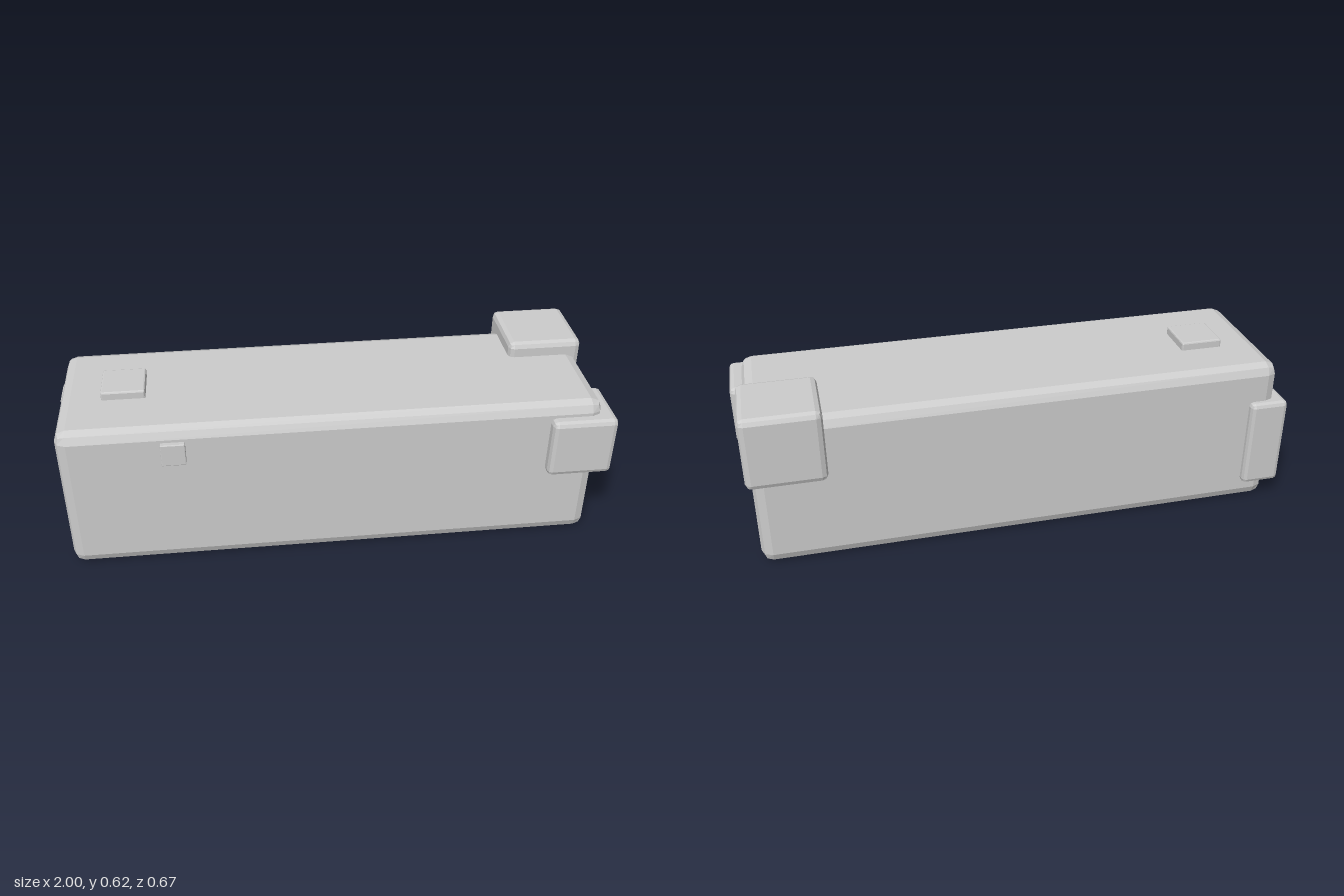
import * as THREE from 'three';
import { RoundedBoxGeometry } from 'three/addons/geometries/RoundedBoxGeometry.js';

const material = new THREE.MeshStandardMaterial({ color: 0xcccccc, flatShading: true });

// Block with two-step bevelled edges, given by its min and max corners
function block(name, min, max, bevel) {
  const size = max.map((v, i) => v - min[i]);
  const mesh = new THREE.Mesh(new RoundedBoxGeometry(...size, 1, bevel), material);
  mesh.position.set(...max.map((v, i) => (v + min[i]) / 2));
  mesh.name = name;
  return mesh;
}

export function createModel() {
  const model = new THREE.Group();
  model.name = 'blockAssembly';
  model.add(
    // Long main body
    block('body', [-0.96, 0, -0.273], [0.95, 0.565, 0.292], 0.04),
    // Blocks sunk into the corners
    block('backCornerBlock', [0.692, 0.353, -0.333], [0.967, 0.62, -0.053], 0.021),
    block('frontCornerBlock', [0.762, 0.288, 0.098], [0.997, 0.514, 0.333], 0.018),
    block('rearEdgeBlock', [-1, 0.08, -0.302], [-0.857, 0.422, -0.172], 0.016),
    // Small plates on the top and front faces
    block('topPlate', [-0.81, 0.5, -0.08], [-0.655, 0.595, 0.078], 0.006),
    block('frontPlate', [-0.605, 0.43, 0.24], [-0.52, 0.515, 0.31], 0.003)
  );
  return model;
}
